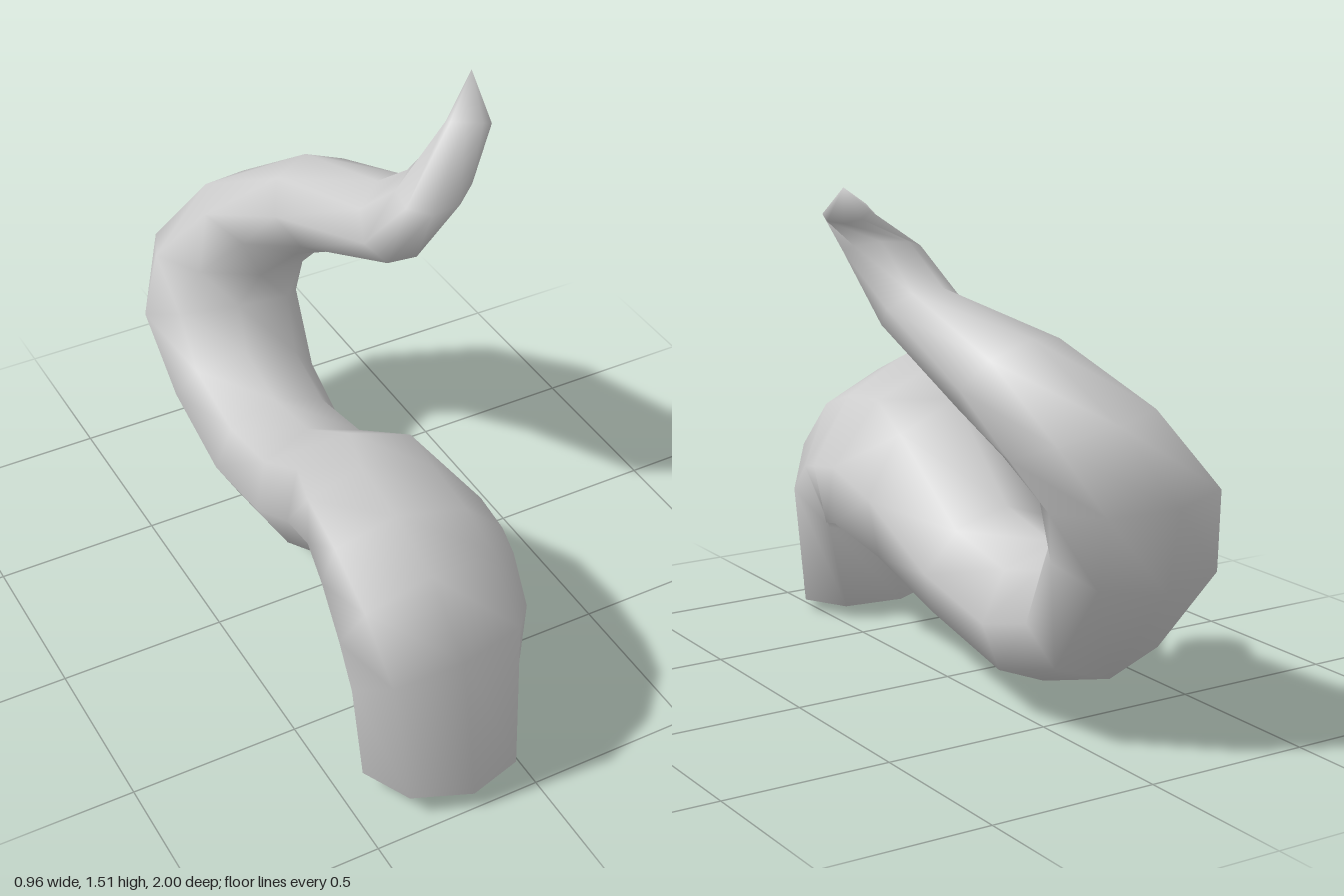
import * as THREE from 'three';

const SIDES = 8;

// Cross-sections from base to tip:
// [yA, zA, yB, zB] two opposite points of the ring, [cx, ux] centre x and x lean of A,
// [wx, wy, wz] sideways half axis
const RINGS = [
  [0.06, 1.00, 0.05, 0.60, -0.20, 0.00, 0.24, -0.02, 0.00],
  [0.57, 0.99, 0.28, 0.58, -0.19, -0.05, 0.29, 0.00, -0.03],
  [0.76, 0.84, 0.31, 0.55, -0.18, -0.08, 0.30, -0.01, -0.05],
  [0.84, 0.67, 0.33, 0.49, -0.16, -0.11, 0.295, -0.04, -0.02],
  [0.85, 0.46, 0.34, 0.42, -0.14, -0.12, 0.275, -0.03, 0.00],
  [0.78, 0.24, 0.26, 0.22, -0.12, -0.06, 0.255, -0.01, 0.00],
  [0.53, -0.11, 0.16, 0.01, -0.115, -0.02, 0.225, 0.00, 0.00],
  [0.48, -0.34, 0.08, -0.37, -0.11, -0.02, 0.22, 0.00, 0.00],
  [0.53, -0.53, 0.19, -0.71, -0.10, -0.03, 0.23, -0.01, 0.02],
  [0.65, -0.62, 0.48, -0.93, -0.10, -0.01, 0.245, -0.01, 0.04],
  [0.74, -0.62, 0.73, -1.00, -0.05, 0.02, 0.235, -0.03, 0.03],
  [0.84, -0.54, 0.94, -0.90, 0.05, 0.00, 0.21, -0.05, 0.01],
  [0.91, -0.40, 1.13, -0.62, 0.13, 0.00, 0.175, -0.02, -0.03],
  [1.07, -0.06, 1.22, -0.26, 0.19, 0.01, 0.13, 0.02, -0.04],
  [1.28, 0.04, 1.33, -0.12, 0.24, 0.04, 0.11, 0.02, -0.035],
  [1.44, -0.08, 1.41, -0.17, 0.40, 0.02, 0.06, -0.02, 0.00],
];
const BASE = [-0.31, 0.00, 0.88];
const TIP = [0.48, 1.51, -0.25];

function tentacleGeometry() {
  const pos = [], index = [];
  for (const [yA, zA, yB, zB, cx, ux, wx, wy, wz] of RINGS) {
    for (let j = 0; j < SIDES; j++) {
      const t = (j / SIDES) * Math.PI * 2, c = Math.cos(t), s = Math.sin(t);
      pos.push(
        cx + ux * c + wx * s,
        (yA + yB) / 2 + ((yA - yB) / 2) * c + wy * s,
        (zA + zB) / 2 + ((zA - zB) / 2) * c + wz * s
      );
    }
  }
  const last = (RINGS.length - 1) * SIDES;
  const base = pos.length / 3, tip = base + 1;
  pos.push(...BASE, ...TIP);

  for (let j = 0; j < SIDES; j++) {
    const k = (j + 1) % SIDES;
    // skin between neighbouring rings
    for (let r = 0; r < last; r += SIDES) {
      index.push(r + j, r + k, r + SIDES + j, r + k, r + SIDES + k, r + SIDES + j);
    }
    // closed base and pointed end
    index.push(base, k, j, last + j, last + k, tip);
  }
  const g = new THREE.BufferGeometry();
  g.setAttribute('position', new THREE.Float32BufferAttribute(pos, 3));
  g.setIndex(index);
  g.computeVertexNormals();
  return g;
}

export function createModel() {
  const group = new THREE.Group();
  const tentacle = new THREE.Mesh(
    tentacleGeometry(),
    new THREE.MeshStandardMaterial({ color: 0xcccccc })
  );
  tentacle.name = 'tentacle';
  group.add(tentacle);
  return group;
}
